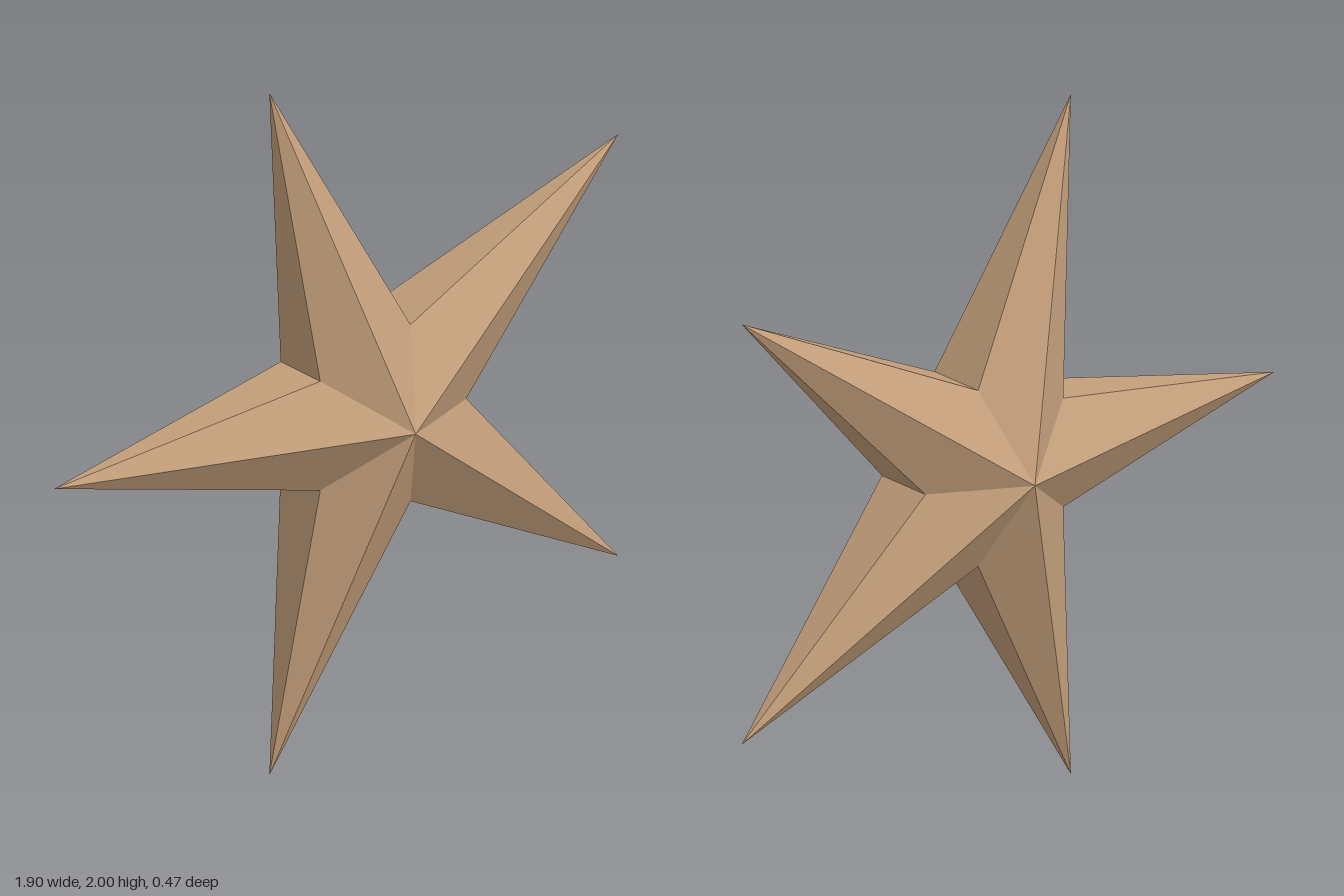
import * as THREE from 'three';

const TIP_RADIUS = 1.0515, VALLEY_RADIUS = 0.272;
const CENTRE_DEPTH = 0.235, VALLEY_DEPTH = 0.093;

// One faceted arm along +x: front ridge, back ridge and the two side walls
function armGeometry() {
  const a = Math.PI / 5;
  const vx = VALLEY_RADIUS * Math.cos(a), vy = VALLEY_RADIUS * Math.sin(a);
  const tip = [TIP_RADIUS, 0, 0];
  const front = [0, 0, CENTRE_DEPTH], back = [0, 0, -CENTRE_DEPTH];
  const upFront = [vx, vy, VALLEY_DEPTH], upBack = [vx, vy, -VALLEY_DEPTH];
  const lowFront = [vx, -vy, VALLEY_DEPTH], lowBack = [vx, -vy, -VALLEY_DEPTH];
  const faces = [
    front, lowFront, tip, front, tip, upFront,
    back, tip, lowBack, back, upBack, tip,
    upFront, tip, upBack, lowBack, tip, lowFront,
  ];
  const geometry = new THREE.BufferGeometry();
  geometry.setAttribute('position', new THREE.Float32BufferAttribute(faces.flat(), 3));
  geometry.computeVertexNormals();
  return geometry;
}

export function createModel() {
  const model = new THREE.Group();
  model.name = 'star';
  const tan = new THREE.MeshStandardMaterial({ color: 0xc49f7b, flatShading: true });
  tan.name = 'tan';

  // Five arms around the centre, one pointing to -x
  const geometry = armGeometry();
  for (let i = 0; i < 5; i++) {
    const arm = new THREE.Mesh(geometry, tan);
    arm.name = `arm${i + 1}`;
    arm.position.set(0.1, 1, 0);
    arm.rotation.z = Math.PI / 5 + (i * Math.PI * 2) / 5;
    model.add(arm);
  }
  return model;
}
